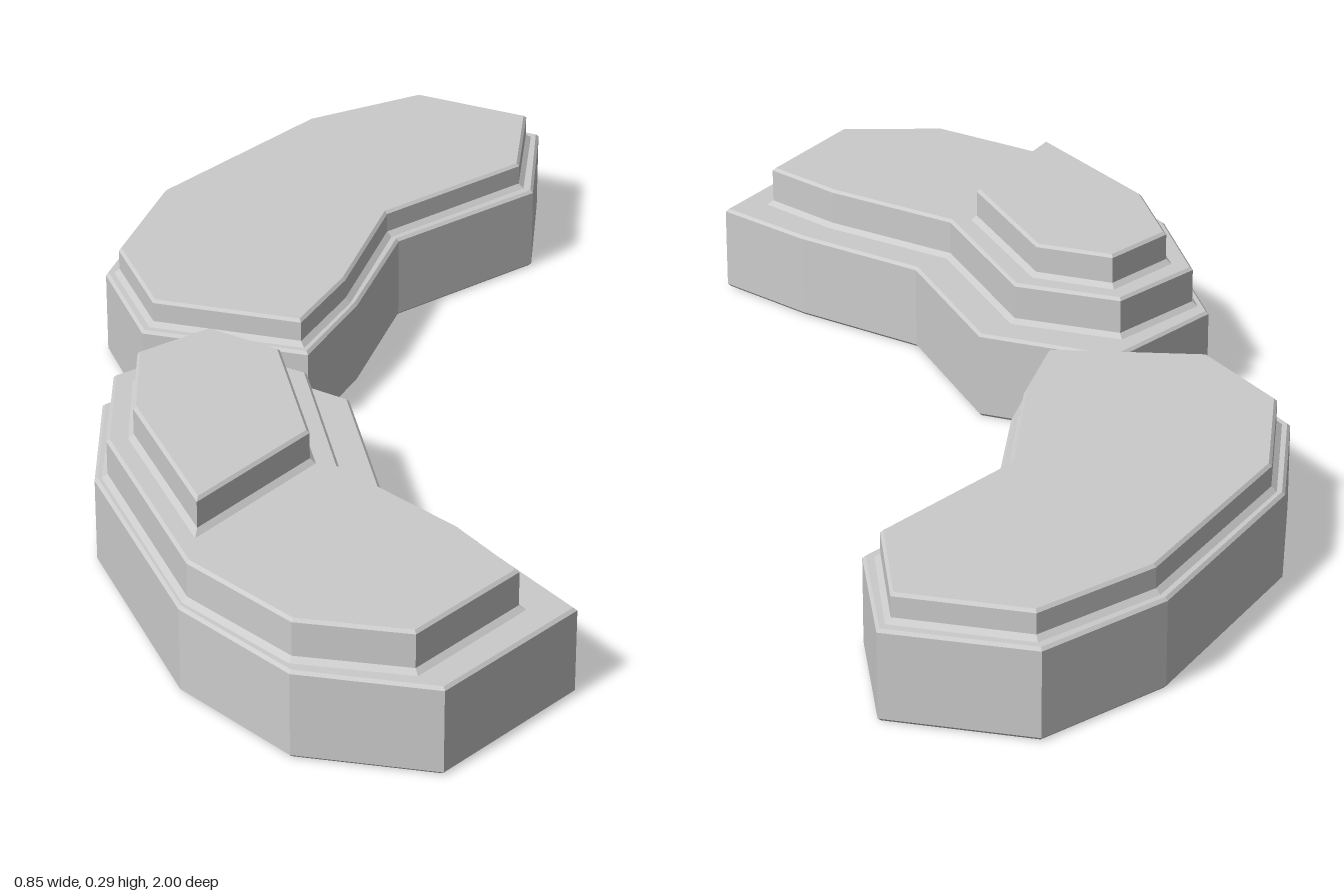
import * as THREE from 'three';

const material = new THREE.MeshStandardMaterial({ color: 0xcccccc, flatShading: true });

// Outlines as [x, z] corners, clockwise seen from above.
const backBase = [[0.2, -1], [0.42, -0.88], [0.385, -0.64], [0.125, -0.46], [0.035, -0.22],
  [-0.06, -0.045], [-0.34, -0.14], [-0.4, -0.36], [-0.31, -0.6], [-0.025, -0.895]];
const backStep = [[0.2, -0.97], [0.394, -0.862], [0.36, -0.655], [0.105, -0.475], [0.015, -0.225],
  [-0.07, -0.073], [-0.32, -0.16], [-0.376, -0.36], [-0.29, -0.59], [-0.012, -0.875]];
const frontBase = [[-0.2, -0.03], [0, 0.118], [0.035, 0.43], [0.2, 0.625], [0.307, 0.79],
  [0.087, 1], [-0.14, 0.94], [-0.3, 0.75], [-0.425, 0.355], [-0.41, 0.11]];
const frontMiddle = [[-0.23, 0.044], [-0.072, 0.152], [-0.037, 0.46], [0.135, 0.655], [0.217, 0.79],
  [0.047, 0.955], [-0.135, 0.91], [-0.286, 0.735], [-0.404, 0.355], [-0.39, 0.142]];
const frontTop = [[-0.23, 0.095], [-0.117, 0.176], [-0.083, 0.45], [-0.267, 0.652], [-0.36, 0.355], [-0.35, 0.172]];

// Moves every edge of a counter-clockwise polygon inwards by d (outwards if negative).
function inset(points, d) {
  const n = points.length;
  return points.map((p, i) => {
    const e = p.clone().sub(points[(i + n - 1) % n]).normalize();
    const f = points[(i + 1) % n].clone().sub(p).normalize();
    const m = new THREE.Vector2(-e.y - f.y, e.x + f.x);
    return p.clone().addScaledVector(m, d / (1 + e.dot(f)));
  });
}

// Stacks rings of the outline, each given as [inset, y], and caps both ends.
function slab(name, outline, profile) {
  const contour = outline.map(([x, z]) => new THREE.Vector2(x, -z)).reverse();
  const n = contour.length;
  const positions = [];
  const index = [];
  for (const [d, y] of profile) {
    for (const p of inset(contour, d)) positions.push(p.x, y, -p.y);
  }
  for (let r = 0; r < profile.length - 1; r++) {
    for (let i = 0; i < n; i++) {
      const a = r * n + i;
      const b = r * n + (i + 1) % n;
      index.push(a, b, b + n, a, b + n, a + n);
    }
  }
  const last = (profile.length - 1) * n;
  for (const [a, b, c] of THREE.ShapeUtils.triangulateShape(contour, [])) {
    index.push(c, b, a, last + a, last + b, last + c);
  }
  const indexed = new THREE.BufferGeometry();
  indexed.setAttribute('position', new THREE.Float32BufferAttribute(positions, 3));
  indexed.setIndex(index);
  const geometry = indexed.toNonIndexed();
  geometry.computeVertexNormals();
  const mesh = new THREE.Mesh(geometry, material);
  mesh.name = name;
  return mesh;
}

// Chamfered block standing on the ground.
const block = (name, outline, top) =>
  slab(name, outline, [[0.005, 0], [0, 0.005], [0, top - 0.005], [0.005, top]]);

// Raised step with a small flared foot and a chamfered rim.
const step = (name, outline, bottom, top) =>
  slab(name, outline, [[-0.009, bottom - 0.004], [-0.009, bottom], [0, bottom + 0.008], [0, top - 0.005], [0.005, top]]);

export function createModel() {
  const model = new THREE.Group();
  model.name = 'steppedPlateaus';

  // Long two-tier plateau at the back
  const back = new THREE.Group();
  back.name = 'backPlateau';
  back.add(block('backBase', backBase, 0.155), step('backStep', backStep, 0.155, 0.203));

  // Three-tier plateau at the front
  const front = new THREE.Group();
  front.name = 'frontPlateau';
  front.add(
    block('frontBase', frontBase, 0.155),
    step('frontMiddle', frontMiddle, 0.155, 0.227),
    step('frontTop', frontTop, 0.227, 0.286),
  );

  model.add(back, front);
  return model;
}
